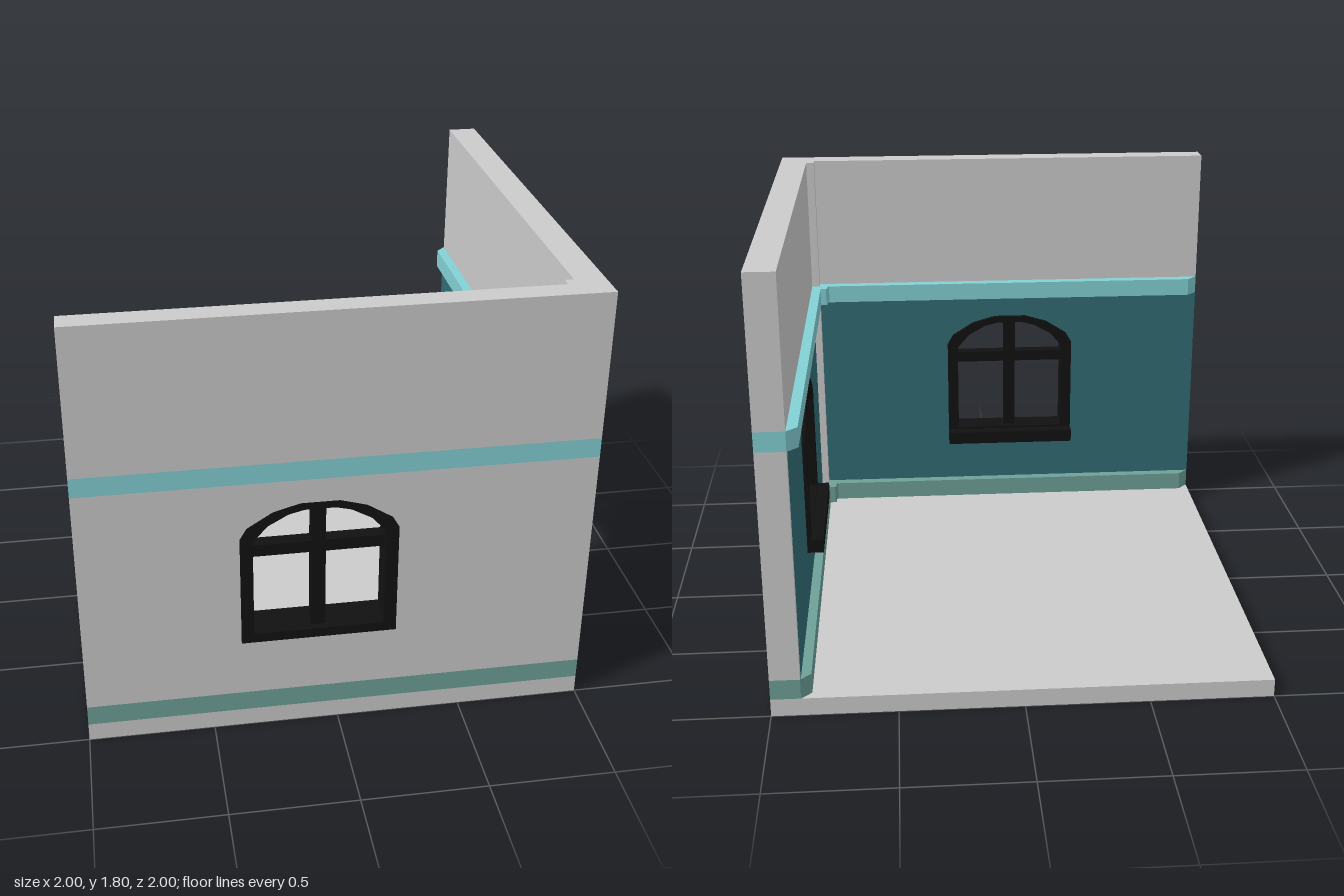
import * as THREE from 'three';

const mat = (color) => new THREE.MeshStandardMaterial({ color, flatShading: true });
const grey = mat(0xcccccc);
const lightTeal = mat(0x83d0d5);
const darkTeal = mat(0x6ea098);
const panelTeal = mat(0x316b73);
panelTeal.side = THREE.DoubleSide;
const black = mat(0x111111);

// Heights of the floor top, skirting top, rail bottom, rail top and wall top
const FLOOR = 0.075, SKIRT = 0.16, RAIL = 1.12, RAIL_TOP = 1.2, TOP = 1.8;
const FRONT_IN = 0.905, RIGHT_IN = 0.88;

// Half outlines of the arched window, from the sill up to the crown
const OUTER = [[0.307, 0.4], [0.307, 0.88], [0.28, 0.927], [0.18, 0.99], [0.075, 1.02]];
const INNER = [[0.257, 0.44], [0.257, 0.865], [0.2, 0.93], [0.12, 0.975], [0.06, 0.99]];

function add(parent, name, geometry, material) {
  const mesh = new THREE.Mesh(geometry, material);
  mesh.name = name;
  parent.add(mesh);
  return mesh;
}

function box(parent, name, material, x0, x1, y0, y1, z0, z1) {
  const mesh = add(parent, name, new THREE.BoxGeometry(x1 - x0, y1 - y0, z1 - z0), material);
  mesh.position.set((x0 + x1) / 2, (y0 + y1) / 2, (z0 + z1) / 2);
  return mesh;
}

// Mirrors a half outline about the window's centre line
function arch(half, cx, scale) {
  const right = half.map(([x, y]) => new THREE.Vector2(cx + x * scale, y));
  const left = half.map(([x, y]) => new THREE.Vector2(cx - x * scale, y)).reverse();
  return [...right, ...left];
}

function rectWithHole(x0, x1, y0, y1, hole) {
  const shape = new THREE.Shape([[x0, y0], [x1, y0], [x1, y1], [x0, y1]].map((p) => new THREE.Vector2(...p)));
  shape.holes.push(new THREE.Path(hole));
  return shape;
}

function extrude(shape, z0, z1) {
  const geometry = new THREE.ExtrudeGeometry(shape, { depth: z1 - z0, bevelEnabled: false });
  return geometry.translate(0, 0, z0);
}

function createWindow(cx, scale, inner) {
  const group = new THREE.Group();
  group.name = 'window';
  const shape = new THREE.Shape(arch(OUTER, cx, scale));
  shape.holes.push(new THREE.Path(arch(INNER, cx, scale)));
  add(group, 'windowFrame', extrude(shape, inner - 0.02, 1), black);
  box(group, 'mullion', black, cx - 0.028, cx + 0.028, 0.43, 1.0, 0.915, 0.97);
  const w = 0.27 * scale;
  box(group, 'transom', black, cx - w, cx + w, 0.78, 0.83, 0.915, 0.97);
  const s = 0.307 * scale;
  box(group, 'windowSill', black, cx - s, cx + s, 0.37, 0.43, inner - 0.072, inner + 0.02);
  return group;
}

// One wall facing +z, stacked from plain and coloured courses
function createWall(name, x0, x1, inner, cx, scale) {
  const wall = new THREE.Group();
  wall.name = name;
  const hole = arch(OUTER, cx, scale);
  box(wall, 'lowerCourse', darkTeal, x0, x1, FLOOR, SKIRT, inner, 1);
  add(wall, 'middleWall', extrude(rectWithHole(x0, x1, SKIRT, RAIL, hole), inner, 1), grey);
  box(wall, 'upperCourse', lightTeal, x0, x1, RAIL, RAIL_TOP, inner, 1);
  box(wall, 'upperWall', grey, x0, x1, RAIL_TOP, TOP, inner, 1);
  // Painted panel on the room side
  const panel = new THREE.ShapeGeometry(rectWithHole(x0, x1, SKIRT, RAIL, hole));
  add(wall, 'paintedPanel', panel.translate(0, 0, inner - 0.003), panelTeal);
  wall.add(createWindow(cx, scale, inner));
  return wall;
}

// Moulding that runs along both walls, steps around the corner post, and has mitred ends
function createMoulding(name, material, y0, y1) {
  const plan = [[-1, FRONT_IN], [-0.955, 0.86], [0.8, 0.86], [0.807, 0.853], [0.807, 0.823],
    [0.813, 0.817], [0.838, 0.817], [0.838, -0.96], [RIGHT_IN, -1], [RIGHT_IN, FRONT_IN]];
  const shape = new THREE.Shape(plan.map(([x, z]) => new THREE.Vector2(x, -z)));
  const geometry = extrude(shape, y0, y1).rotateX(-Math.PI / 2);
  const mesh = new THREE.Mesh(geometry, material);
  mesh.name = name;
  return mesh;
}

export function createModel() {
  const room = new THREE.Group();
  room.name = 'roomCorner';

  box(room, 'floor', grey, -1, 1, 0, FLOOR, -1, 1);

  // Two walls meeting at the front right corner
  room.add(createWall('frontWall', -1, 1, FRONT_IN, -0.077, 1));
  const rightWall = createWall('rightWall', -FRONT_IN, 1, RIGHT_IN, 0.032, 0.967);
  rightWall.rotation.y = Math.PI / 2;
  room.add(rightWall);

  // Slim post in the inner corner
  box(room, 'cornerPost', grey, 0.845, RIGHT_IN, FLOOR, TOP, 0.865, FRONT_IN);

  room.add(createMoulding('skirtingBoard', darkTeal, FLOOR, SKIRT));
  room.add(createMoulding('wallRail', lightTeal, RAIL, RAIL_TOP));
  return room;
}
